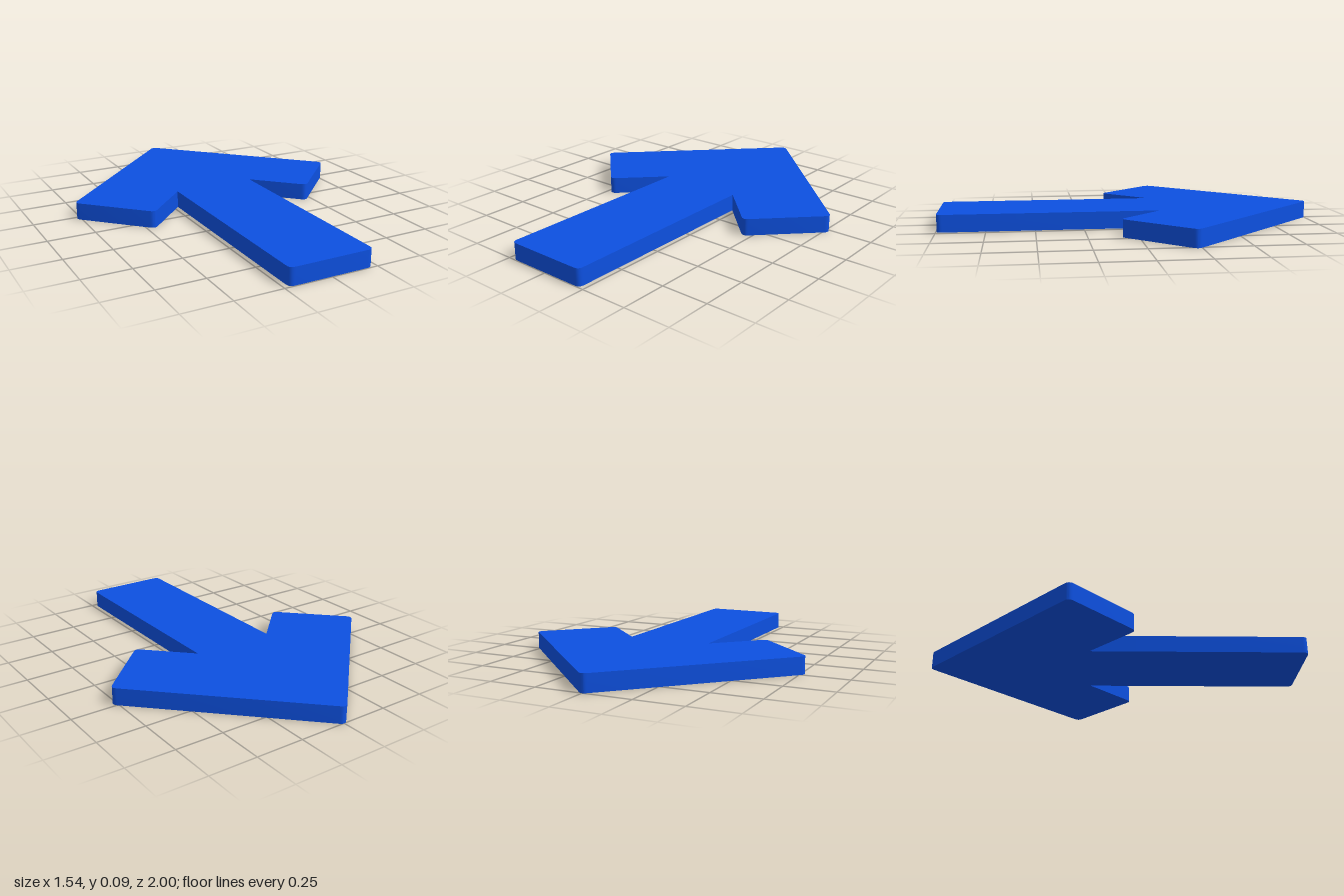
import * as THREE from 'three';
import { toCreasedNormals } from 'three/addons/utils/BufferGeometryUtils.js';

const THICKNESS = 0.09;
const CORNER = 0.03;

// Closed outline; each point is [x, y, corner radius]
function roundedOutline(points) {
  const shape = new THREE.Shape();
  const n = points.length;
  points.forEach(([x, y, r], i) => {
    const p = new THREE.Vector2(x, y);
    const toward = ([qx, qy]) =>
      new THREE.Vector2(qx, qy).sub(p).setLength(r).add(p);
    const a = toward(points[(i + n - 1) % n]);
    const b = toward(points[(i + 1) % n]);
    if (i === 0) shape.moveTo(a.x, a.y);
    else shape.lineTo(a.x, a.y);
    if (r > 0) shape.quadraticCurveTo(x, y, b.x, b.y);
  });
  shape.closePath();
  return shape;
}

export function createModel() {
  const group = new THREE.Group();
  group.name = 'arrow';

  // Right half of the arrow from shaft end to barb, then tip, then mirrored
  const half = [
    [0.225, -0.997, CORNER],
    [0.225, 0.145, 0],
    [0.46, -0.09, CORNER],
    [0.78, 0.23, CORNER],
  ];
  const mirrored = half.map(([x, y, r]) => [-x, y, r]).reverse();
  const outline = roundedOutline([...half, [0, 1.012, CORNER], ...mirrored]);

  // Flat plate laid on the ground, pointing to the back
  const plate = new THREE.ExtrudeGeometry(outline, {
    depth: THICKNESS,
    bevelEnabled: false,
    curveSegments: 6,
  });
  plate.rotateX(-Math.PI / 2);

  const arrow = new THREE.Mesh(
    toCreasedNormals(plate, 0.6),
    new THREE.MeshStandardMaterial({ color: 0x0d50e0 })
  );
  arrow.name = 'arrowPlate';
  group.add(arrow);
  return group;
}
